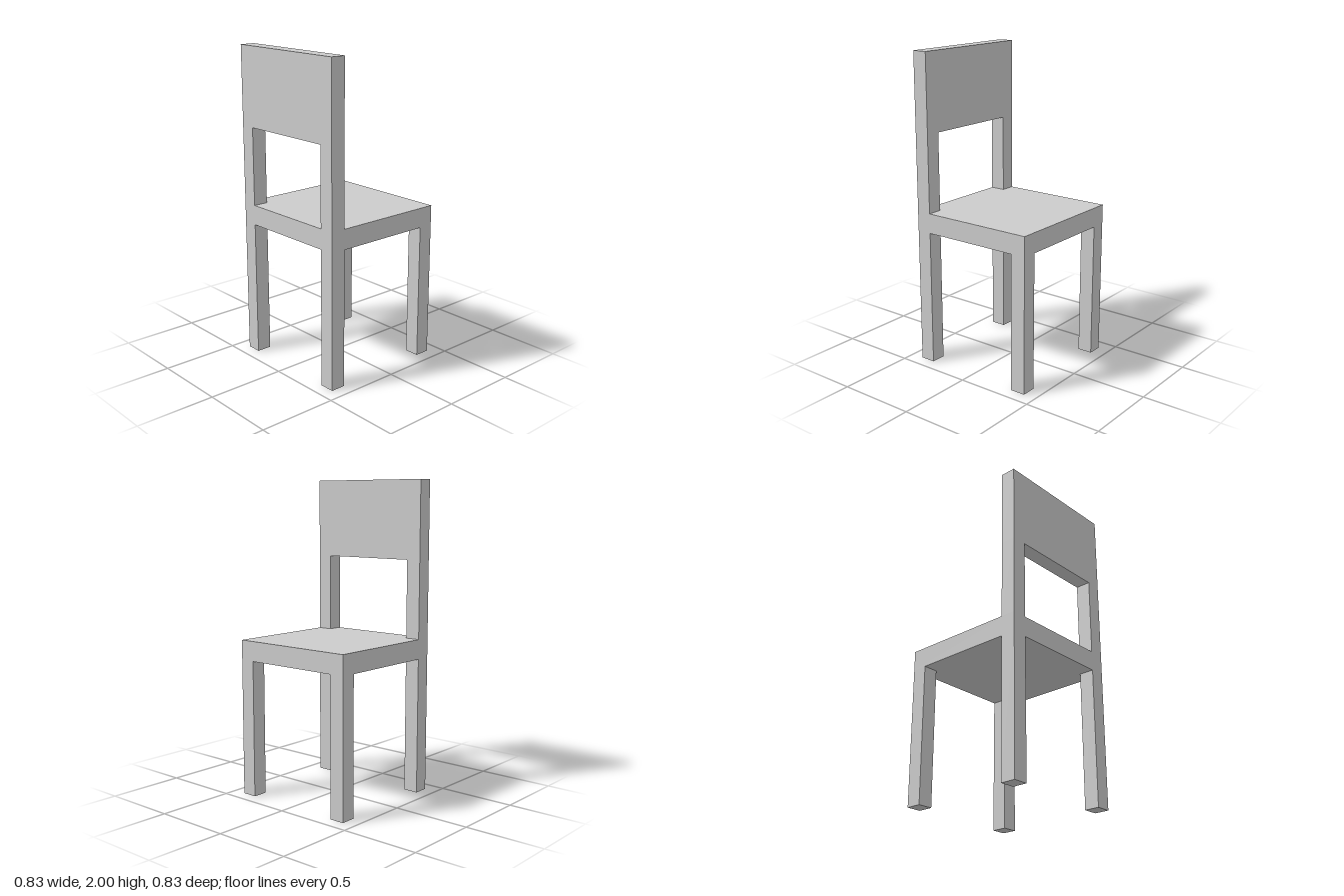
import * as THREE from 'three';

const HALF = 0.417;       // half of the seat's width and depth
const POST = 0.097;       // thickness of legs, posts and backrest
const SEAT_BOTTOM = 0.875;
const SEAT_TOP = 1.002;
const REST_BOTTOM = 1.5;
const TOP = 2;

export function createModel() {
  const chair = new THREE.Group();
  chair.name = 'chair';
  const material = new THREE.MeshStandardMaterial({ color: 0xcccccc, flatShading: true });

  // Box standing on height y0 and reaching y1
  function addBlock(name, width, depth, y0, y1, x, z) {
    const mesh = new THREE.Mesh(new THREE.BoxGeometry(width, y1 - y0, depth), material);
    mesh.name = name;
    mesh.position.set(x, (y0 + y1) / 2, z);
    chair.add(mesh);
  }

  const edge = HALF - POST / 2;

  // Seat slab
  addBlock('seat', 2 * HALF, 2 * HALF, SEAT_BOTTOM, SEAT_TOP, 0, 0);

  // Legs at the corners, with the back posts rising above the seat at -x
  for (const side of [-1, 1]) {
    addBlock('frontLeg', POST, POST, 0, SEAT_BOTTOM, edge, side * edge);
    addBlock('backLeg', POST, POST, 0, SEAT_BOTTOM, -edge, side * edge);
    addBlock('backPost', POST, POST, SEAT_TOP, REST_BOTTOM, -edge, side * edge);
  }

  // Backrest panel across both posts
  addBlock('backrest', POST, 2 * HALF, REST_BOTTOM, TOP, -edge, 0);

  return chair;
}
